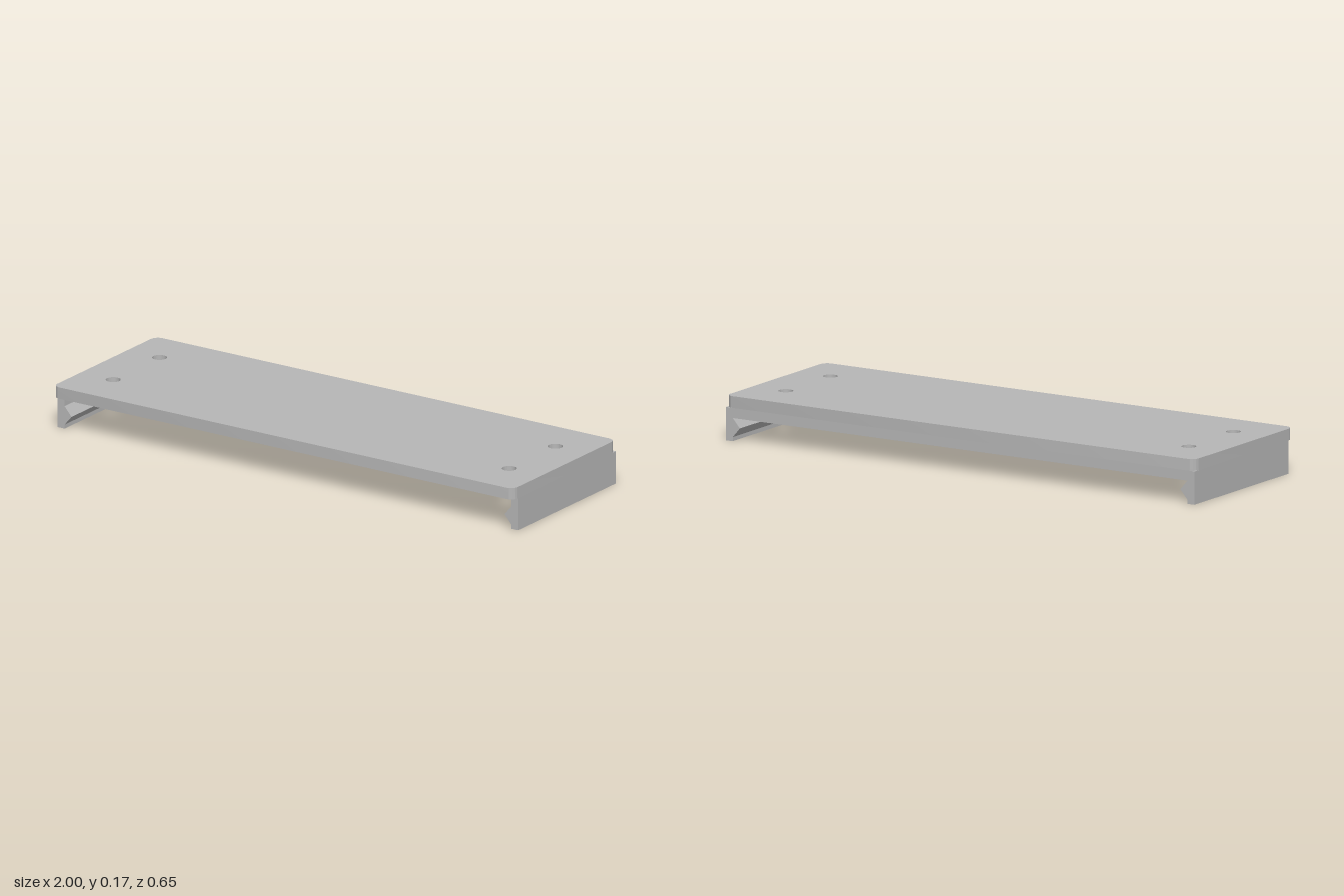
import * as THREE from 'three';
import { toCreasedNormals } from 'three/addons/utils/BufferGeometryUtils.js';

const TOP = 0.165, UNDER = 0.122, DEPTH = 0.327, WALL = 0.03;

export function createModel() {
  const group = new THREE.Group();
  const grey = new THREE.MeshStandardMaterial({ color: 0xb6b6b6 });
  grey.name = 'grey';
  const add = (name, geometry, x = 0, y = 0, z = 0) => {
    const mesh = new THREE.Mesh(geometry, grey);
    mesh.name = name;
    mesh.position.set(x, y, z);
    group.add(mesh);
    return mesh;
  };

  // Cover plate: rounded rectangle with four screw holes
  const r = 0.03, w = 1, d = DEPTH;
  const plate = new THREE.Shape();
  plate.absarc(w - r, d - r, r, 0, Math.PI / 2);
  plate.absarc(-w + r, d - r, r, Math.PI / 2, Math.PI);
  plate.absarc(-w + r, -d + r, r, Math.PI, Math.PI * 1.5);
  plate.absarc(w - r, -d + r, r, Math.PI * 1.5, Math.PI * 2);
  const centres = [];
  for (const x of [-0.86, 0.86]) for (const y of [-0.147, 0.147]) centres.push([x, y]);
  const holeRadius = 0.027, sinkRadius = 0.05;
  for (const [x, y] of centres) {
    plate.holes.push(new THREE.Path().absarc(x, y, holeRadius, 0, Math.PI * 2, true));
  }
  const plateGeometry = new THREE.ExtrudeGeometry(plate, {
    depth: TOP - UNDER, steps: 2, bevelEnabled: false, curveSegments: 16,
  });

  // Countersinks: widen the lowest ring of each hole
  const pos = plateGeometry.attributes.position;
  for (let i = 0; i < pos.count; i++) {
    if (pos.getZ(i) > 1e-4) continue;
    for (const [x, y] of centres) {
      const dx = pos.getX(i) - x, dy = pos.getY(i) - y;
      if (Math.hypot(dx, dy) < holeRadius * 1.1) {
        const k = sinkRadius / holeRadius;
        pos.setXY(i, x + dx * k, y + dy * k);
        break;
      }
    }
  }
  plateGeometry.rotateX(-Math.PI / 2);
  add('coverPlate', toCreasedNormals(plateGeometry, 0.5), 0, UNDER, 0);

  // Side walls with an inward snap ridge, extruded along z
  const sideLength = 0.295 + DEPTH;
  for (const [name, s] of [['leftWall', 1], ['rightWall', -1]]) {
    const profile = new THREE.Shape([
      [1, 0], [1, UNDER], [1 - WALL, UNDER], [1 - WALL, 0.085],
      [0.94, 0.05], [1 - WALL, 0.015], [1 - WALL, 0],
    ].map(([x, y]) => new THREE.Vector2(s * x, y)));
    add(name, new THREE.ExtrudeGeometry(profile, { depth: sideLength, bevelEnabled: false }), 0, 0, -DEPTH);
  }

  // Shallow back lip between the side walls
  const lipHeight = UNDER - 0.085;
  add('backLip', new THREE.BoxGeometry(2 - 2 * WALL, lipHeight, WALL),
    0, 0.085 + lipHeight / 2, -DEPTH + WALL / 2);

  // Small locating bumps under the plate
  for (const x of [-0.595, 0.685]) {
    const dome = new THREE.SphereGeometry(0.022, 24, 8, 0, Math.PI * 2, Math.PI / 2, Math.PI / 2);
    dome.scale(1, 0.55, 1);
    add('locatingBump', dome, x, UNDER, -0.125);
  }
  return group;
}
